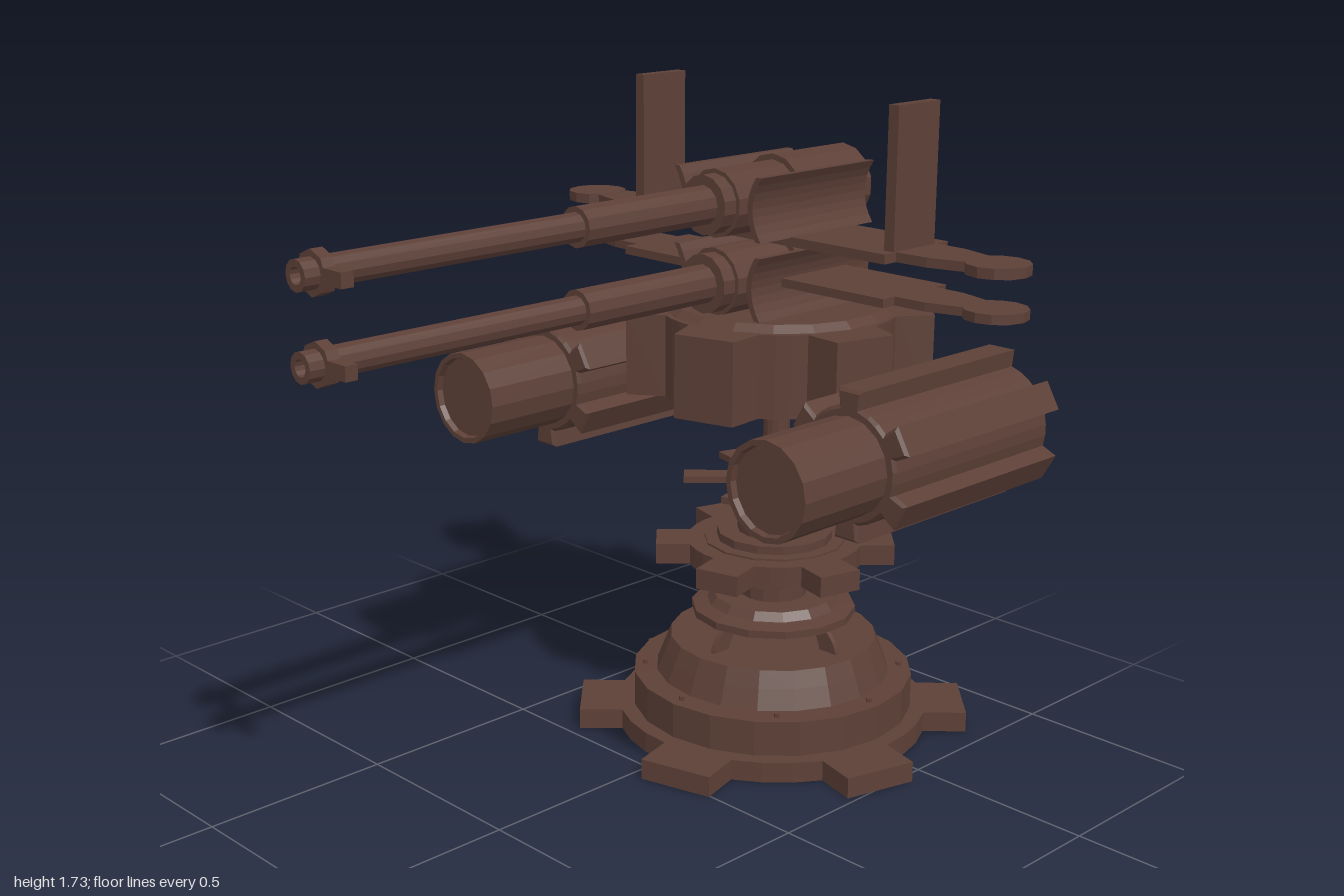
import * as THREE from 'three';

const brown = new THREE.MeshStandardMaterial({ color: 0x5d4037 });
brown.name = 'dark brown';
const AXIS_Z = -0.475; // pedestal axis

// Faceted mesh from any geometry
function add(parent, name, geo, x = 0, y = 0, z = 0) {
  const flat = geo.index ? geo.toNonIndexed() : geo;
  flat.computeVertexNormals();
  const mesh = new THREE.Mesh(flat, brown);
  mesh.name = name;
  mesh.position.set(x, y, z);
  parent.add(mesh);
  return mesh;
}

const box = (w, h, d) => new THREE.BoxGeometry(w, h, d);
const lathe = (pts, n) => new THREE.LatheGeometry(pts.map(p => new THREE.Vector2(p[0], p[1])), n);
const extrude = (shape, depth, bevel = 0) => new THREE.ExtrudeGeometry(shape, {
  depth: depth - 2 * bevel, bevelEnabled: bevel > 0, bevelSize: bevel, bevelThickness: bevel,
  bevelOffset: -bevel, bevelSegments: 1, curveSegments: 8,
}).translate(0, 0, bevel);
// Horizontal slab: shape x,y becomes x,-z, thickness goes up
const slab = (shape, h, bevel = 0) => extrude(shape, h, bevel).rotateX(-Math.PI / 2);

// Six-toothed outline with rounded body
function gearShape(rBody, rTip, wBase, wTip, phase) {
  const pts = [];
  const half = Math.asin(wBase / 2 / rBody);
  for (let i = 0; i < 6; i++) {
    const t = phase + i * Math.PI / 3;
    const c = Math.cos(t), s = Math.sin(t);
    const put = (u, v) => pts.push(new THREE.Vector2(u * c - v * s, u * s + v * c));
    const u = rBody * Math.cos(half);
    put(u, -wBase / 2);
    put(rTip, -wTip / 2);
    put(rTip, wTip / 2);
    put(u, wBase / 2);
    const gap = Math.PI / 3 - 2 * half;
    for (let k = 1; k < 3; k++) {
      const a = half + gap * k / 3;
      put(rBody * Math.cos(a), rBody * Math.sin(a));
    }
  }
  return new THREE.Shape(pts);
}

function buildPedestal() {
  const g = new THREE.Group();
  g.name = 'pedestal';
  g.position.z = AXIS_Z;
  const phase = Math.PI / 4;

  add(g, 'baseGear', slab(gearShape(0.42, 0.524, 0.2, 0.2, phase), 0.055), 0, 0.005);
  add(g, 'baseDome', lathe([[0, 0.05], [0.38, 0.05], [0.38, 0.155], [0.318, 0.158], [0.298, 0.21],
    [0.28, 0.255], [0.235, 0.255], [0, 0.255]], 20));
  for (let i = 0; i < 8; i++) {
    const a = i * Math.PI / 4;
    add(g, 'baseRivet', new THREE.CylinderGeometry(0.008, 0.008, 0.014, 6),
      0.347 * Math.sin(a), 0.16, 0.347 * Math.cos(a));
  }

  // Thin curved ribs that carry the column
  const rib = new THREE.Shape();
  rib.moveTo(0.235, 0.25);
  rib.quadraticCurveTo(0.225, 0.305, 0.165, 0.33);
  rib.lineTo(0.12, 0.33);
  rib.quadraticCurveTo(0.17, 0.3, 0.178, 0.25);
  for (let i = 0; i < 4; i++) {
    add(g, 'supportRib', extrude(rib, 0.014).translate(0, 0, -0.007)).rotation.y = i * Math.PI / 2;
  }

  add(g, 'column', lathe([[0, 0.32], [0.222, 0.32], [0.222, 0.34], [0.18, 0.35], [0.163, 0.372],
    [0.09, 0.372], [0.09, 0.432], [0.155, 0.432], [0.155, 0.47], [0.19, 0.47], [0.19, 0.53],
    [0.155, 0.53], [0.155, 0.552], [0.1, 0.552], [0.1, 0.61], [0.065, 0.61], [0.065, 0.75],
    [0.035, 0.75], [0.035, 0.93], [0, 0.93]], 14));
  add(g, 'columnGear', slab(gearShape(0.235, 0.318, 0.12, 0.12, phase), 0.055), 0, 0.47);
  add(g, 'spokedRing', slab(gearShape(0.12, 0.245, 0.06, 0.06, phase), 0.018), 0, 0.687);

  add(g, 'turretGear', slab(gearShape(0.31, 0.395, 0.2, 0.165, phase), 0.215), 0, 0.945);
  add(g, 'turretCap', new THREE.CylinderGeometry(0.275, 0.3, 0.02, 18), 0, 1.168);
  add(g, 'crossbar', box(0.86, 0.022, 0.24), 0, 0.932, 0.005);
  return g;
}

function buildPod(x) {
  const g = new THREE.Group();
  g.name = 'sidePod';
  g.position.set(x, 0.925, 0);
  add(g, 'podHousing', extrude(gearShape(0.145, 0.185, 0.066, 0.076, Math.PI / 2), 0.59, 0.008), 0, 0, -0.72);
  // Tube with a shallow recessed mouth
  add(g, 'podTube', lathe([[0, -0.15], [0.122, -0.15], [0.122, 0.15], [0.108, 0.15], [0.104, 0.135],
    [0, 0.135]], 16).rotateX(Math.PI / 2));
  return g;
}

function buildGun(y) {
  const g = new THREE.Group();
  g.name = 'gun';
  g.position.set(-0.008, y, 0);
  const along = (pts, n) => lathe(pts, n).rotateX(Math.PI / 2);
  add(g, 'breech', along([[0, -0.69], [0.082, -0.69], [0.088, -0.72], [0.102, -0.72], [0.102, -0.45],
    [0.087, -0.45], [0.087, -0.24], [0.076, -0.24], [0.076, -0.2], [0, -0.2]], 14));
  add(g, 'barrel', along([[0.05, -0.22], [0.05, 0.222], [0.036, 0.222], [0.036, 1.0], [0.02, 1.0],
    [0.02, 0.95], [0, 0.95]], 12));
  add(g, 'muzzleRing', new THREE.CylinderGeometry(0.052, 0.052, 0.032, 8).rotateX(Math.PI / 2), 0, 0, 0.945);
  add(g, 'muzzleTab', box(0.075, 0.035, 0.032), 0.07, 0, 0.945);

  // Outward-flaring guards on each side of the breech
  for (const s of [-1, 1]) {
    const guard = new THREE.Shape();
    guard.moveTo(s * 0.15, 0.08);
    guard.quadraticCurveTo(s * 0.092, 0, s * 0.15, -0.08);
    guard.lineTo(s * 0.132, -0.08);
    guard.quadraticCurveTo(s * 0.076, 0, s * 0.132, 0.08);
    add(g, 'breechGuard', extrude(guard, 0.42), 0.008, 0, -0.66);
  }
  return g;
}

// Cross plate with an arm and round paddle at each end
function buildPlate(y, h) {
  const g = new THREE.Group();
  g.name = 'crossPlate';
  g.position.set(0, y, -0.47);
  add(g, 'plate', box(0.9, h, 0.24), 0, h / 2, 0);
  for (const s of [-1, 1]) {
    const arm = new THREE.Shape([[0.44, 0.078], [0.54, 0.075], [0.64, 0.048], [0.64, -0.048], [0.54, -0.075], [0.44, -0.078]]
      .map(p => new THREE.Vector2(s * p[0], p[1])));
    add(g, 'plateArm', slab(arm, h));
    add(g, 'paddle', new THREE.CylinderGeometry(0.08, 0.08, h + 0.002, 12), s * 0.692, h / 2, 0);
  }
  return g;
}

export function createModel() {
  const model = new THREE.Group();
  model.name = 'gunTurret';
  model.add(buildPedestal());
  for (const s of [-1, 1]) {
    model.add(buildPod(s * 0.54));
    add(model, 'uprightFin', box(0.03, 0.36, 0.154), s * 0.432, 1.55, -0.464);
  }
  for (const y of [1.262, 1.46]) model.add(buildGun(y));
  model.add(buildPlate(1.252, 0.022), buildPlate(1.358, 0.024));
  return model;
}
